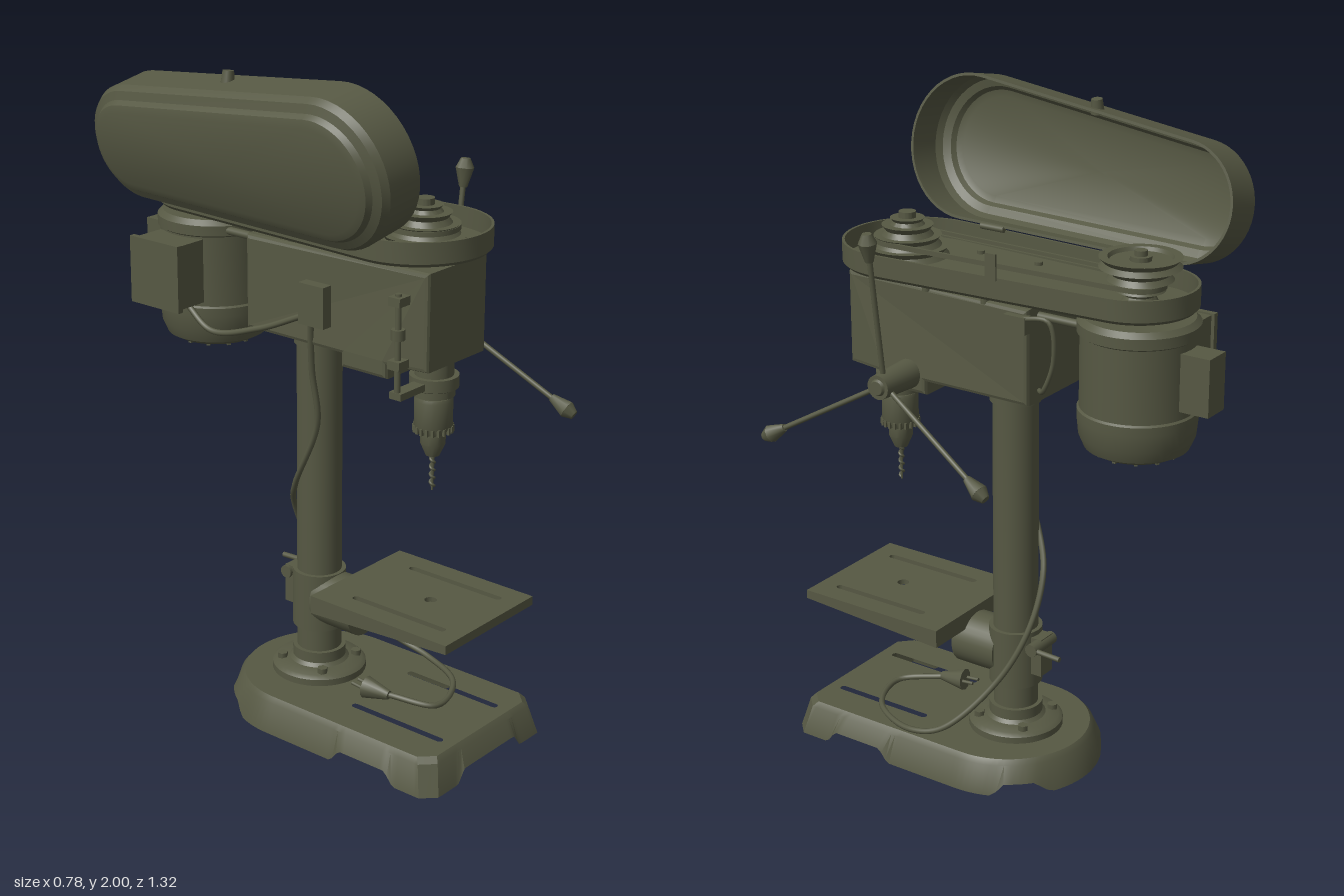
import * as THREE from 'three';
import { toCreasedNormals } from 'three/addons/utils/BufferGeometryUtils.js';

const V = (x, y, z) => new THREE.Vector3(x, y, z);
const CX = 0.04; // centre line of the machine

export function createModel() {
  const root = new THREE.Group();
  const olive = new THREE.MeshStandardMaterial({ color: 0x565843, side: THREE.DoubleSide });
  olive.name = 'olive paint';

  const add = (name, geo, x = 0, y = 0, z = 0) => {
    const m = new THREE.Mesh(geo, olive);
    m.name = name;
    m.position.set(x, y, z);
    root.add(m);
    return m;
  };
  const crease = (g, a = 0.6) => toCreasedNormals(g, a);
  const box = (name, w, h, d, x, y, z) => add(name, new THREE.BoxGeometry(w, h, d), x, y, z);
  const lathe = (name, pts, x, z, n = 40) =>
    add(name, crease(new THREE.LatheGeometry(pts.map(p => new THREE.Vector2(...p)), n)), x, 0, z);
  // cylinder between two points
  const rod = (name, a, b, r0, r1 = r0, n = 12) => {
    const d = b.clone().sub(a);
    const m = add(name, new THREE.CylinderGeometry(r1, r0, d.length(), n));
    m.position.copy(a).addScaledVector(d, 0.5);
    m.quaternion.setFromUnitVectors(V(0, 1, 0), d.normalize());
    return m;
  };
  const tube = (name, pts, r, n = 80) =>
    add(name, new THREE.TubeGeometry(new THREE.CatmullRomCurve3(pts.map(p => V(...p))), n, r, 8));
  // side profile in (z, y), given a width in x
  const side = (name, pts, w, x, bevel = 0) => {
    const s = new THREE.Shape(pts.map(p => new THREE.Vector2(...p)));
    const g = new THREE.ExtrudeGeometry(s, { depth: w - 2 * bevel, bevelEnabled: bevel > 0,
      bevelSize: bevel, bevelOffset: -bevel, bevelThickness: bevel, bevelSegments: 2 });
    g.translate(0, 0, -w / 2 + bevel).rotateY(-Math.PI / 2);
    return add(name, g, x);
  };
  // skin over closed rings with equal point counts, optionally closed by a fan
  const loft = (rings, cap = false) => {
    const n = rings[0].length, pos = rings.flat().flatMap(p => [p.x, p.y, p.z]), idx = [];
    for (let r = 0; r < rings.length - 1; r++)
      for (let i = 0; i < n; i++) {
        const a = r * n + i, b = r * n + (i + 1) % n;
        idx.push(a, b, a + n, b, b + n, a + n);
      }
    if (cap) {
      const c = rings.at(-1).reduce((s, p) => s.add(p), V(0, 0, 0)).divideScalar(n), o = (rings.length - 1) * n;
      pos.push(c.x, c.y, c.z);
      for (let i = 0; i < n; i++) idx.push(o + i, o + (i + 1) % n, rings.length * n);
    }
    const g = new THREE.BufferGeometry();
    g.setAttribute('position', new THREE.Float32BufferAttribute(pos, 3));
    g.setIndex(idx);
    return crease(g, 0.5);
  };
  // outline round two circles on the centre line (front, then back)
  const capsule = (r1, z1, r2, z2, y) => {
    const t = Math.asin((r1 - r2) / (z1 - z2)), out = [], N = 24;
    for (let i = 0; i <= N; i++) {
      const a = -t + (Math.PI + 2 * t) * i / N;
      out.push(V(CX + r1 * Math.cos(a), y, z1 + r1 * Math.sin(a)));
    }
    for (let i = 0; i <= N; i++) {
      const a = Math.PI + t + (Math.PI - 2 * t) * i / N;
      out.push(V(CX + r2 * Math.cos(a), y, z2 + r2 * Math.sin(a)));
    }
    return out;
  };
  const slot = (x, z0, z1, r) => {
    const h = new THREE.Path();
    h.absarc(x, z1, r, 0, Math.PI, false);
    h.absarc(x, z0, r, Math.PI, 2 * Math.PI, false);
    return h;
  };
  const slotted = (pts, holes) => {
    const s = new THREE.Shape(pts.map(p => new THREE.Vector2(p.x, p.z)));
    s.holes.push(...holes);
    return s;
  };

  // base: flared hollow casting, rounded at the back, with feet left between cut-outs
  const baseRing = (off, y) => {
    const w = 0.282 - off, f = 0.635 - off, c = 0.04, out = [];
    const line = (x0, z0, x1, z1, n) => {
      for (let i = 0; i < n; i++) out.push(V(CX + x0 + (x1 - x0) * i / n, y, z0 + (z1 - z0) * i / n));
    };
    line(w, 0.017, w, f - c, 40);
    line(w, f - c, w - c, f, 3);
    line(w - c, f, c - w, f, 36);
    line(c - w, f, -w, f - c, 3);
    line(-w, f - c, -w, 0.017, 40);
    for (let i = 0; i < 40; i++) {
      const a = Math.PI * (1 + i / 40);
      out.push(V(CX + w * Math.cos(a), y, 0.017 + w * Math.sin(a)));
    }
    return out;
  };
  const foot = baseRing(0, 0);
  for (const p of foot) {
    const gap = (v, a, b) => Math.max(0, Math.min(1, (v - a) / 0.03, (b - v) / 0.03));
    p.y = 0.04 * Math.max(gap(p.z, 0.27, 0.5), gap(p.z, -0.23, -0.1),
      p.z > 0.6 ? gap(p.x, CX - 0.15, CX + 0.15) : 0);
  }
  add('baseSkirt', loft([foot, baseRing(0.022, 0.09), baseRing(0.035, 0.105)]));
  const plate = new THREE.ShapeGeometry(slotted(baseRing(0.035, 0),
    [-0.09, 0.175].map(x => slot(x, 0.24, 0.55, 0.011))), 6).rotateX(Math.PI / 2);
  add('baseTop', plate, 0, 0.105, 0);

  // column with flange and bolts
  lathe('columnFlange', [[0, 0.1], [0.142, 0.1], [0.142, 0.125], [0.13, 0.135], [0.09, 0.14], [0.08, 0.15], [0.08, 0.183], [0.06, 0.183]], CX, -0.01);
  for (let i = 0; i < 4; i++) {
    const a = Math.PI * (i / 2 + 0.25);
    rod('flangeBolt', V(CX + 0.112 * Math.cos(a), 0.13, -0.01 + 0.112 * Math.sin(a)),
      V(CX + 0.112 * Math.cos(a), 0.152, -0.01 + 0.112 * Math.sin(a)), 0.016, 0.016, 6);
  }
  rod('column', V(CX, 0.12, -0.01), V(CX, 1.22, -0.01), 0.067, 0.067, 40);
  rod('columnCollar', V(CX, 1.15, -0.01), V(CX, 1.21, -0.01), 0.075, 0.075, 40);

  // work table: slotted plate with a hollow underside
  const tabletop = [V(-0.165, 0, 0.13), V(0.25, 0, 0.13), V(0.25, 0, 0.62), V(-0.165, 0, 0.62)];
  const holes = [slot(-0.09, 0.24, 0.55, 0.011), slot(0.175, 0.24, 0.55, 0.011), slot(CX, 0.41, 0.41, 0.018)];
  add('tableTop', new THREE.ExtrudeGeometry(slotted(tabletop, holes),
    { depth: 0.016, bevelEnabled: false, curveSegments: 8 }).rotateX(Math.PI / 2), 0, 0.455, 0);
  for (const x of [-0.159, 0.244])
    side('tableSide', [[0.62, 0.45], [0.62, 0.428], [0.13, 0.4], [0.13, 0.45]], 0.012, x);
  box('tableFront', 0.41, 0.025, 0.012, 0.0425, 0.44, 0.614);
  box('tableBack', 0.41, 0.05, 0.012, 0.0425, 0.425, 0.136);

  // table bracket, clamp and clamp handle
  side('tableArm', [[0.41, 0.44], [0.41, 0.37], [0.15, 0.335], [0.15, 0.44]], 0.075, CX);
  rod('tiltBoss', V(CX, 0.35, 0.02), V(CX, 0.35, 0.168), 0.083, 0.083, 32);
  rod('tableClamp', V(CX, 0.255, -0.01), V(CX, 0.435, -0.01), 0.08, 0.08, 36);
  box('clampLug', 0.06, 0.12, 0.05, CX, 0.36, -0.095);
  rod('clampScrew', V(CX - 0.04, 0.4, -0.11), V(CX + 0.07, 0.4, -0.11), 0.02, 0.02);
  rod('clampHandle', V(CX + 0.06, 0.4, -0.1), V(CX + 0.06, 0.395, -0.205), 0.008);

  // head casting, slimmer at the front
  const head = side('head', [[0.485, 1.2], [0.485, 1.48], [-0.15, 1.48], [-0.15, 1.2], [0.2, 1.2], [0.2, 1.16], [0.36, 1.16], [0.36, 1.2]], 0.31, 0.035, 0.012);
  const hp = head.geometry.attributes.position;
  for (let i = 0; i < hp.count; i++) if (hp.getZ(i) > 0.4) hp.setX(i, hp.getX(i) * 0.86);
  head.geometry.computeVertexNormals();
  for (const [x, z] of [[-0.09, 0], [-0.09, 0.2], [0.175, 0], [0.175, 0.2]])
    rod('trayBolt', V(x, 1.47, z), V(x, 1.522, z), 0.012, 0.012, 8);

  // quill, chuck and drill bit
  lathe('quill', [[0, 1.2], [0.055, 1.2], [0.055, 1.15], [0.07, 1.15], [0.07, 1.115], [0.06, 1.11], [0.06, 1.09], [0.035, 1.09], [0.035, 1.07]], CX - 0.005, 0.41);
  lathe('chuck', [[0, 1.085], [0.052, 1.085], [0.055, 1.075], [0.055, 1.0], [0.048, 0.98], [0.036, 0.975], [0.036, 0.945], [0.02, 0.908], [0, 0.908]], CX - 0.005, 0.41, 24);
  for (let i = 0; i < 20; i++) {
    const a = Math.PI * i / 10;
    box('chuckTooth', 0.008, 0.02, 0.008, CX - 0.005 + 0.054 * Math.cos(a), 0.99, 0.41 + 0.054 * Math.sin(a));
  }
  rod('bitCore', V(CX - 0.005, 0.8, 0.41), V(CX - 0.005, 0.92, 0.41), 0.003, 0.007, 8);
  tube('bitFlute', Array.from({ length: 33 }, (_, i) =>
    [CX - 0.005 + 0.006 * Math.cos(i * 0.8), 0.81 + i * 0.003, 0.41 + 0.006 * Math.sin(i * 0.8)]), 0.004);

  // depth stop on the head's side
  rod('depthRod', V(-0.13, 1.12, 0.41), V(-0.13, 1.42, 0.41), 0.009);
  for (const y of [1.22, 1.4]) box('depthBracket', 0.07, 0.025, 0.04, -0.115, y, 0.41);
  rod('depthNut', V(-0.13, 1.29, 0.41), V(-0.13, 1.32, 0.41), 0.02, 0.02, 8);
  box('depthArm', 0.17, 0.02, 0.04, -0.055, 1.13, 0.41);

  // feed hub with three levers
  rod('feedHub', V(0.15, 1.215, 0.26), V(0.33, 1.215, 0.26), 0.045, 0.036, 24);
  rod('hubCap', V(0.33, 1.215, 0.26), V(0.337, 1.215, 0.26), 0.025, 0.02, 16);
  for (let i = 0; i < 3; i++) {
    const a = Math.PI / 2 + i * Math.PI * 2 / 3 + 0.01;
    const at = (x, r) => V(x, 1.215 + r * Math.sin(a), 0.26 + r * Math.cos(a));
    rod('feedLever', at(0.303, 0.02), at(0.357, 0.39), 0.008);
    rod('leverKnobLower', at(0.356, 0.375), at(0.363, 0.43), 0.012, 0.027, 8);
    rod('leverKnobUpper', at(0.363, 0.43), at(0.366, 0.457), 0.027, 0.014, 8);
  }

  // motor with terminal box, capacitor cover and vent ribs
  const MZ = -0.415;
  lathe('motor', [[0, 1.1], [0.06, 1.1], [0.12, 1.09], [0.148, 1.105], [0.163, 1.14], [0.168, 1.19], [0.168, 1.215], [0.162, 1.22], [0.162, 1.43], [0.17, 1.435], [0.17, 1.465], [0.155, 1.48], [0, 1.48]], CX, MZ, 48);
  for (let i = 0; i < 12; i++) {
    const a = Math.PI * i / 6;
    box('ventRib', 0.07, 0.014, 0.01, CX + 0.085 * Math.cos(a), 1.092, MZ + 0.085 * Math.sin(a)).rotation.y = -a;
  }
  box('motorBackCover', 0.085, 0.165, 0.1, CX + 0.002, 1.328, -0.61);
  box('terminalBox', 0.1, 0.19, 0.17, -0.155, 1.33, MZ);
  box('terminalLid', 0.018, 0.2, 0.19, -0.213, 1.33, MZ);
  rod('motorShaft', V(CX, 1.47, MZ), V(CX, 1.66, MZ), 0.018);
  for (const x of [-0.05, 0.13]) rod('motorMountRod', V(x, 1.45, -0.14), V(x, 1.45, -0.33), 0.012);
  tube('tensionRod', [[0.19, 1.44, -0.08], [0.2, 1.46, -0.15], [0.19, 1.46, -0.22], [0.18, 1.35, -0.23], [0.17, 1.25, -0.19], [0.12, 1.23, -0.14]], 0.007, 40);
  box('tensionLock', 0.03, 0.05, 0.07, 0.195, 1.44, -0.12);

  // belt tray and hinged lid share one outline
  const tray = (off, y) => capsule(0.212 - off, 0.335, 0.172 - off, -0.405, y);
  add('beltTray', loft([tray(0.008, 1.57), tray(0.008, 1.512), tray(0.012, 1.512)], true));
  add('beltTrayOutside', loft([tray(0.008, 1.57), tray(0, 1.57), tray(0, 1.51), tray(0.01, 1.5)], true));
  const tilt = Math.asin(0.04 / 0.74);
  const lid = loft([tray(0.008, 0.01), tray(0.008, 0), tray(0, 0), tray(0, 0.115), tray(0.012, 0.135), tray(0.035, 0.145), tray(0.045, 0.16), tray(0.065, 0.168)], true);
  lid.translate(0.172, 0, -0.335).rotateY(tilt).rotateZ(1.77).rotateY(-tilt);
  add('lid', lid, -0.155, 1.58, 0.335);
  rod('lidKnob', V(-0.25, 1.93, -0.09), V(-0.245, 1.972, -0.09), 0.02, 0.016);
  for (const z of [-0.25, 0.2])
    rod('hinge', V(-0.15 + (0.2 - z) * 0.054, 1.575, z - 0.04), V(-0.15 + (0.2 - z) * 0.054, 1.575, z + 0.04), 0.01);
  box('latchTab', 0.006, 0.075, 0.035, 0.232, 1.6, -0.06);

  // stepped pulleys and belt
  lathe('frontPulley', [[0, 1.515], [0.12, 1.515], [0.108, 1.53], [0.12, 1.545], [0.098, 1.545], [0.086, 1.56], [0.098, 1.575], [0.075, 1.575], [0.064, 1.59], [0.075, 1.605], [0.05, 1.605], [0.042, 1.615], [0.05, 1.625], [0.025, 1.625], [0.025, 1.643], [0, 1.643]], CX, 0.365);
  lathe('motorPulley', [[0, 1.52], [0.05, 1.52], [0.042, 1.535], [0.05, 1.55], [0.07, 1.55], [0.06, 1.565], [0.07, 1.58], [0.092, 1.58], [0.08, 1.595], [0.092, 1.61], [0.114, 1.615], [0.1, 1.628], [0.114, 1.643], [0.09, 1.643], [0.085, 1.632], [0.03, 1.632], [0.03, 1.645], [0, 1.645]], CX, MZ);
  add('belt', loft([capsule(0.09, 0.365, 0.065, MZ, 1.558), capsule(0.098, 0.365, 0.073, MZ, 1.558),
    capsule(0.098, 0.365, 0.073, MZ, 1.572), capsule(0.09, 0.365, 0.065, MZ, 1.572)]));

  // switch box, power cable and plug
  box('switchBox', 0.035, 0.12, 0.09, -0.135, 1.33, 0.12);
  tube('motorCable', [[-0.15, 1.24, -0.36], [-0.16, 1.18, -0.25], [-0.15, 1.22, -0.08], [-0.14, 1.29, 0.08]], 0.009, 40);
  tube('powerCable', [[-0.13, 1.28, 0.1], [-0.1, 1.12, 0.08], [-0.07, 0.95, 0.075], [-0.035, 0.72, -0.04], [0.03, 0.62, -0.1], [0.1, 0.47, -0.1], [0.17, 0.3, -0.03], [0.27, 0.15, 0.1], [0.28, 0.117, 0.22], [0.2, 0.115, 0.38], [0.05, 0.115, 0.43], [-0.02, 0.135, 0.3]], 0.009, 140);
  rod('plug', V(-0.02, 0.135, 0.31), V(-0.03, 0.14, 0.23), 0.014, 0.034, 10);
  for (const x of [-0.045, -0.015]) rod('plugPin', V(x, 0.14, 0.24), V(x, 0.145, 0.19), 0.005);
  return root;
}
